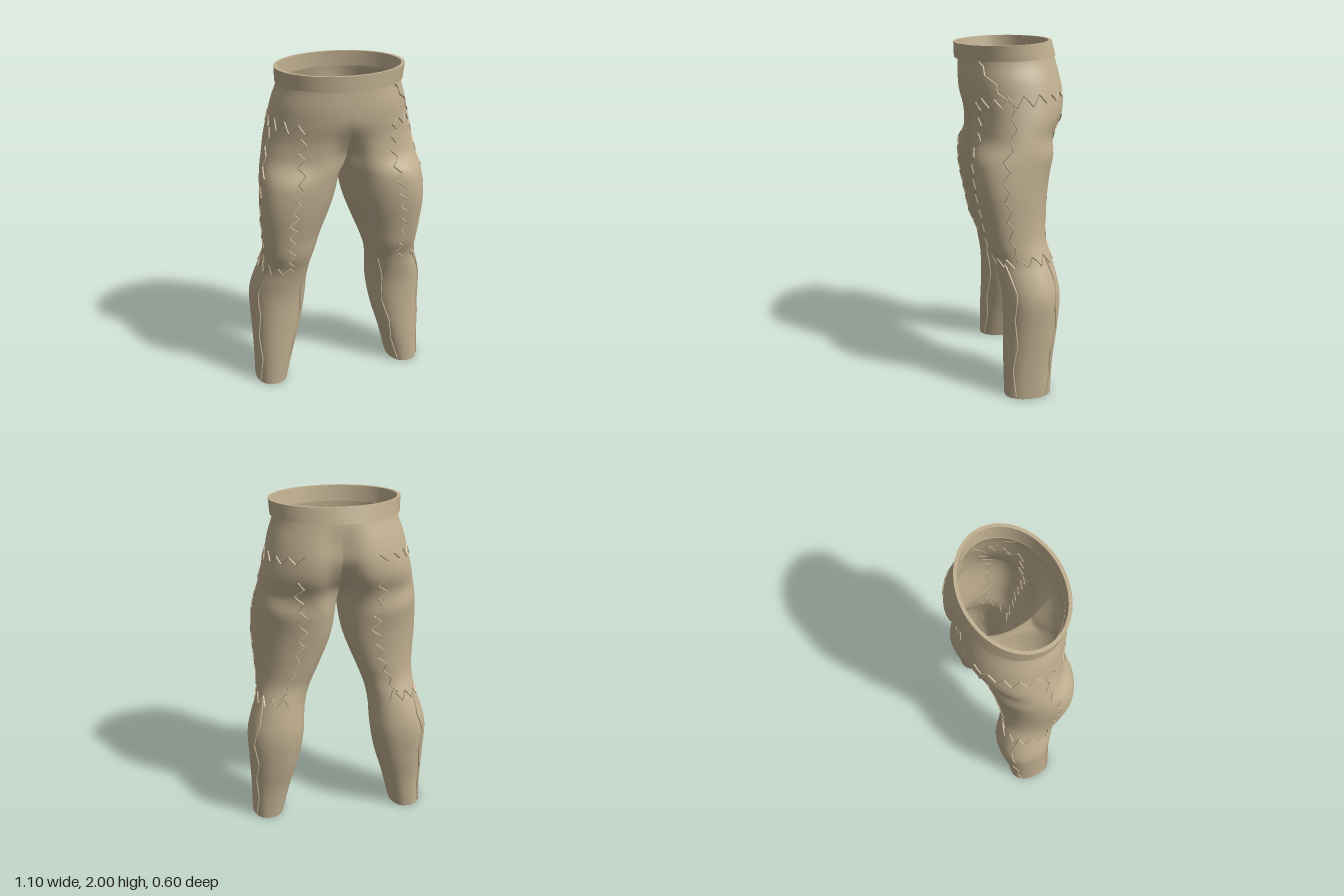
import * as THREE from 'three';
import { toCreasedNormals } from 'three/addons/utils/BufferGeometryUtils.js';

const cloth = new THREE.MeshStandardMaterial({ color: 0xc0af90, side: THREE.DoubleSide });
const { lerp, clamp, smoothstep, degToRad } = THREE.MathUtils;

// Smooth lookup in a table whose first column is the height
const table = rows => {
  const spline = new THREE.CubicInterpolant(rows.map(r => r[0]),
    rows.flatMap(r => r.slice(1)), rows[0].length - 1);
  return y => spline.evaluate(y);
};

// Leg sections: y, inner x, outer x, front z, back z, skew
const legAt = table([
  [0, 0.345, 0.54, 0.105, -0.165, 0], [0.2, 0.295, 0.54, 0.105, -0.18, 0],
  [0.4, 0.238, 0.545, 0.1, -0.21, 0], [0.6, 0.205, 0.547, 0.105, -0.225, 0],
  [0.7, 0.2, 0.522, 0.122, -0.21, 0], [0.8, 0.185, 0.488, 0.145, -0.185, 0],
  [0.9, 0.155, 0.475, 0.185, -0.16, 0.02], [1, 0.12, 0.475, 0.205, -0.165, 0.04],
  [1.2, 0.045, 0.485, 0.245, -0.185, 0.05], [1.3, 0.02, 0.482, 0.255, -0.2, 0.04],
  [1.4, 0.005, 0.472, 0.255, -0.22, 0.02], [1.5, 0, 0.45, 0.25, -0.25, 0],
]);

// Hip sections: y, half width, front z, back z, front dent, back dent
const hipAt = table([
  [1.4, 0.472, 0.255, -0.22, 0.11, 0.13], [1.5, 0.452, 0.25, -0.25, 0.09, 0.12],
  [1.6, 0.43, 0.255, -0.298, 0.035, 0.09], [1.7, 0.405, 0.275, -0.308, 0, 0.05],
  [1.8, 0.383, 0.285, -0.29, 0, 0.03], [1.9, 0.35, 0.283, -0.262, 0, 0.005],
  [1.94, 0.345, 0.283, -0.25, 0, 0],
]);

const CROTCH = 1.5, BLEND = 1.36, OUTER = 40, INNER = 14;
const power = (c, p) => Math.sign(c) * Math.abs(c) ** p;

function legPoint(y, deg) {
  const [xi, xo, zf, zb, skew] = legAt(y);
  const c = power(Math.cos(degToRad(deg)), 0.9), s = power(Math.sin(degToRad(deg)), 0.9);
  return new THREE.Vector3((xi + xo) / 2 + (xo - xi) / 2 * c + skew * s, y,
    (zf + zb) / 2 + (zf - zb) / 2 * s);
}

function hipPoint(y, deg) {
  const [w, zf, zb, df, db] = hipAt(y);
  const c = Math.max(0, Math.cos(degToRad(deg))) ** 0.92, s = Math.sin(degToRad(deg));
  const x = w * c, dent = Math.exp(-((x / 0.09) ** 2));
  return new THREE.Vector3(x, y, (zf + zb) / 2 + (zf - zb) / 2 * power(s, 0.92)
    - Math.max(0, s) * df * dent + Math.max(0, -s) * db * dent);
}

// Outside of one half: v runs from the front centre round the side to the back
function outerPoint(y, v) {
  if (y >= CROTCH) return hipPoint(y, 90 - 180 * v);
  const p = legPoint(y, 140 - 280 * v);
  return y <= BLEND ? p : p.lerp(hipPoint(y, 90 - 180 * v), smoothstep(y, BLEND, CROTCH));
}

// Inside of the thigh: v runs from back to front, meeting the other leg at a saddle
function innerPoint(y, v) {
  const p = legPoint(y, 220 - 80 * v);
  if (y <= BLEND) return p;
  const f = hipPoint(CROTCH, 90).z, b = hipPoint(CROTCH, -90).z;
  const seam = new THREE.Vector3(0, y - 0.07 * Math.sin(Math.PI * v), lerp(b, f, v));
  return p.lerp(seam, smoothstep(y, BLEND, CROTCH));
}

function surface(rows, quadsIn, closed, flip) {
  const n = rows[0].length, index = [];
  for (let r = 0; r < rows.length - 1; r++)
    for (let i = 0; i < quadsIn(r); i++) {
      const j = closed ? (i + 1) % n : i + 1;
      const a = r * n + i, b = r * n + j, c = a + n, d = b + n;
      index.push(...(flip ? [a, c, b, b, c, d] : [a, b, c, b, d, c]));
    }
  const g = new THREE.BufferGeometry();
  g.setAttribute('position', new THREE.Float32BufferAttribute(rows.flat().flatMap(p => p.toArray()), 3));
  g.setIndex(index);
  g.computeVertexNormals();
  return g;
}

// One leg with its half of the hips
function halfGeometry(side) {
  const heights = [];
  for (let i = 0; i <= 50; i++) heights.push(CROTCH * i / 50);
  for (let i = 1; i <= 16; i++) heights.push(CROTCH + 0.44 * i / 16);
  const rows = heights.map(y => {
    const ring = [];
    for (let i = 0; i <= OUTER; i++) ring.push(outerPoint(y, i / OUTER));
    for (let i = 1; i < INNER; i++) ring.push(innerPoint(Math.min(y, CROTCH), i / INNER));
    ring.forEach(p => { p.x *= side; });
    return ring;
  });
  return surface(rows, r => (r < 50 ? OUTER + INNER : OUTER), true, side < 0);
}

// Jagged raised seam between two (v, y) positions on the outside
let seed = 7;
const random = () => (seed = (seed * 16807) % 2147483647) / 2147483647;

function seamGeometry([v0, y0, v1, y1, teeth, across], side) {
  const corners = [];
  for (let i = 0; i <= teeth; i++) {
    const k = i / teeth, zig = (i % 2 ? 1 : -1) * (0.6 + 0.6 * random());
    corners.push([lerp(v0, v1, k) + (across ? 0 : zig * 0.018), lerp(y0, y1, k) + (across ? zig * 0.028 : 0)]);
  }
  const at = (v, y) => outerPoint(clamp(y, 0, 1.93), clamp(v, 0, 1));
  const left = [], ridge = [], right = [];
  for (let i = 0; i < teeth; i++)
    for (let s = 0; s <= 4; s++) {
      const [a, b] = [corners[i], corners[i + 1]];
      const v = lerp(a[0], b[0], s / 4), y = lerp(a[1], b[1], s / 4), p = at(v, y);
      const du = at(v + 0.01, y).sub(at(v - 0.01, y)), dy = at(v, y + 0.01).sub(at(v, y - 0.01));
      const normal = du.clone().cross(dy).normalize();
      const along = du.multiplyScalar((b[0] - a[0]) / 0.02)
        .add(dy.multiplyScalar((b[1] - a[1]) / 0.02)).normalize();
      const wide = normal.clone().cross(along).multiplyScalar(0.005);
      const base = p.clone().addScaledVector(normal, -0.003);
      left.push(base.clone().sub(wide));
      ridge.push(p.clone().addScaledVector(normal, 0.006));
      right.push(base.clone().add(wide));
    }
  const rows = [left, ridge, right];
  rows.flat().forEach(p => { p.x *= side; });
  return toCreasedNormals(surface(rows, () => left.length - 1, false, side > 0), 0.4);
}

// Seams: v start, y start, v end, y end, teeth, runs across
const seams = [
  [0.2, 1.68, 0.18, 0.84, 20, false],  // front of thigh
  [0.43, 1.72, 0.45, 0.84, 16, false], // side of thigh
  [0.84, 1.6, 0.8, 0.84, 16, false],   // back of thigh
  [0.14, 0.8, 0.86, 0.82, 16, true],   // knee
  [0.36, 0.8, 0.36, 0.01, 5, false],   // front of calf
  [0.66, 0.82, 0.66, 0.01, 6, false],  // back of calf
  [0.03, 0.78, 0.04, 0.01, 5, false],  // inside of calf
  [0.2, 1.68, 0.84, 1.72, 15, true],   // hip
];

// Waistband: a thick ring, slightly lower at the front
function waistbandGeometry() {
  const profile = [ // half width, front z, back z, y
    [0.338, 0.277, -0.245, 1.905], [0.364, 0.307, -0.268, 1.908],
    [0.37, 0.309, -0.243, 1.993], [0.35, 0.29, -0.225, 1.993],
    [0.338, 0.277, -0.23, 1.905],
  ];
  const rows = profile.map(([w, zf, zb, y]) => Array.from({ length: 64 }, (_, i) => {
    const t = -Math.PI * 2 * i / 64, s = Math.sin(t);
    return new THREE.Vector3(w * Math.cos(t), y - 0.007 * s, (zf + zb) / 2 + (zf - zb) / 2 * s);
  }));
  return toCreasedNormals(surface(rows, () => 64, true, false), 0.6);
}

export function createModel() {
  const model = new THREE.Group();
  model.name = 'trousers';
  const add = (parent, name, geometry) => {
    const mesh = new THREE.Mesh(geometry, cloth);
    mesh.name = name;
    parent.add(mesh);
  };
  for (const side of [1, -1]) {
    const half = new THREE.Group();
    half.name = side > 0 ? 'leftHalf' : 'rightHalf';
    add(half, 'legAndHip', halfGeometry(side));
    for (const s of seams) add(half, 'jaggedSeam', seamGeometry(s, side));
    model.add(half);
  }
  // Slanted seam on the left front hip
  add(model, 'hipSeam', seamGeometry([0.24, 1.92, 0.4, 1.7, 5, false], 1));
  add(model, 'waistband', waistbandGeometry());
  return model;
}
